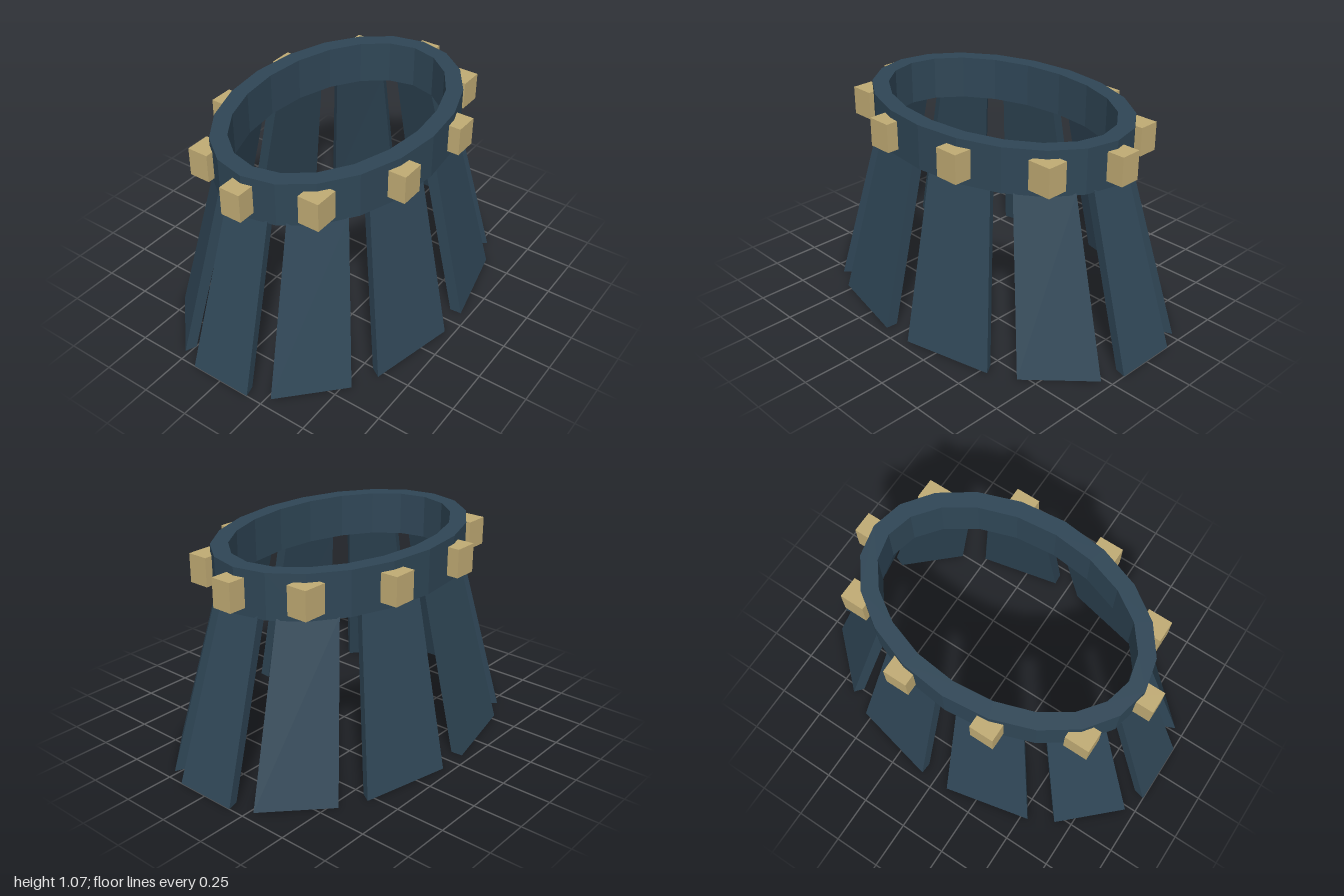
import * as THREE from 'three';

const COUNT = 10;          // panels and studs around the ring
const STEP = (Math.PI * 2) / COUNT;
const HALF = THREE.MathUtils.degToRad(13.5); // half the angle one panel covers
const THICK = 0.06;

const ellipse = (a, b, n) => Array.from({ length: n }, (_, i) => {
  const t = (i / n) * Math.PI * 2;
  return new THREE.Vector2(a * Math.cos(t), b * Math.sin(t));
});

// Flared slab: a box whose corners are wrapped onto a large ellipse below and a small one above
function panelGeometry(angle) {
  const geo = new THREE.BoxGeometry(1, 1, 1);
  const p = geo.attributes.position;
  for (let i = 0; i < p.count; i++) {
    const top = p.getY(i) > 0;
    const inset = p.getX(i) > 0 ? 0 : THICK;
    const t = angle + Math.sign(p.getZ(i)) * HALF;
    const a = (top ? 0.75 : 1.028) - inset;
    const b = (top ? 0.515 : 0.708) - inset;
    p.setXYZ(i, a * Math.cos(t), top ? 0.855 : 0, b * Math.sin(t));
  }
  geo.computeVertexNormals();
  return geo;
}

export function createModel() {
  const model = new THREE.Group();
  model.name = 'armoredSkirt';
  const blue = new THREE.MeshStandardMaterial({ color: 0x2f4656, flatShading: true });
  blue.name = 'dark slate blue';
  const gold = new THREE.MeshStandardMaterial({ color: 0xc0ab74, flatShading: true });
  gold.name = 'pale gold';

  // Oval waist ring, twenty sided
  const outline = new THREE.Shape(ellipse(0.755, 0.522, 20));
  outline.holes.push(new THREE.Path(ellipse(0.668, 0.437, 20)));
  const ringGeo = new THREE.ExtrudeGeometry(outline, { depth: 0.225, bevelEnabled: false });
  ringGeo.rotateX(-Math.PI / 2);
  const ring = new THREE.Mesh(ringGeo, blue);
  ring.name = 'waistRing';
  ring.position.y = 0.845;
  model.add(ring);

  // Hanging panels with a square stud above each
  const panels = new THREE.Group();
  panels.name = 'panels';
  const studs = new THREE.Group();
  studs.name = 'studs';
  const studGeo = new THREE.BoxGeometry(0.125, 0.145, 0.11);
  for (let i = 0; i < COUNT; i++) {
    const angle = i * STEP;
    const panel = new THREE.Mesh(panelGeometry(angle), blue);
    panel.name = 'panel' + (i + 1);
    panels.add(panel);

    const stud = new THREE.Mesh(studGeo, gold);
    stud.name = 'stud' + (i + 1);
    stud.position.set(0.77 * Math.cos(angle), 0.957, 0.536 * Math.sin(angle));
    studs.add(stud);
  }
  model.add(panels, studs);
  return model;
}
